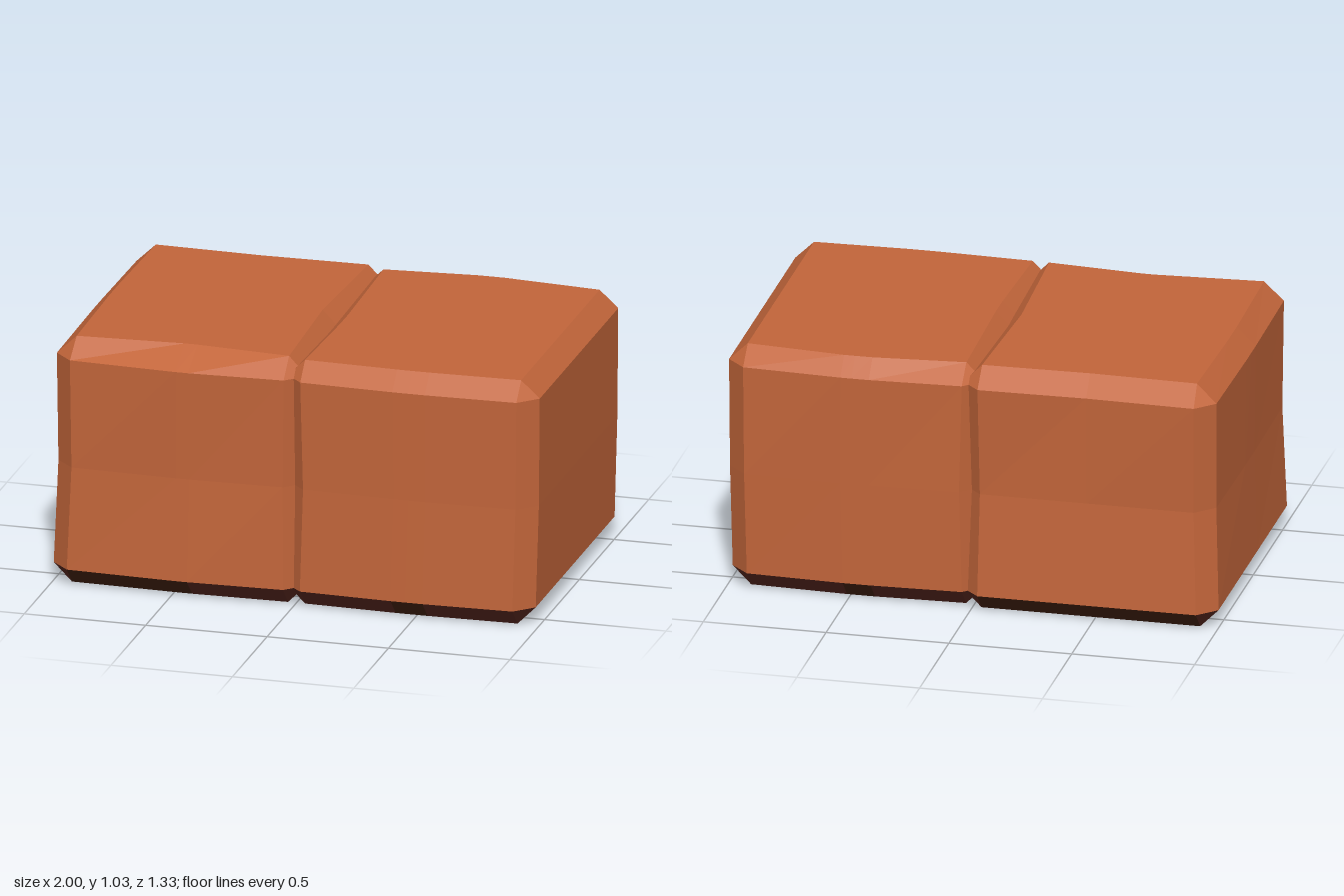
import * as THREE from 'three';

const clay = new THREE.MeshStandardMaterial({ color: 0xc2653a });
const darkRed = new THREE.MeshStandardMaterial({ color: 0x59281f });
const darkBrown = new THREE.MeshStandardMaterial({ color: 0x442110 });
for (const [m, n] of [[clay, 'clay'], [darkRed, 'darkRed'], [darkBrown, 'darkBrown']]) m.name = n;

const BEVEL = 0.075;

// One horizontal ring; sides run front, right, back, left, each with its own bulge
function ring({ y, x0, x1, z0, z1, bulge, cap }, patches) {
  const b = BEVEL, c = cap ? b : 0;
  const sides = [
    [x0 + b, z1 - c, x1 - b, z1 - c, 0, 1],
    [x1 - c, z1 - b, x1 - c, z0 + b, 1, 0],
    [x1 - b, z0 + c, x0 + b, z0 + c, 0, -1],
    [x0 + c, z0 + b, x0 + c, z1 - b, -1, 0],
  ];
  return sides.flatMap(([ax, az, bx, bz, nx, nz], s) =>
    steps(patches[s]).map((t) => {
      const out = bulge[s] * 4 * t * (1 - t);
      return new THREE.Vector3(ax + (bx - ax) * t + nx * out, y, az + (bz - az) * t + nz * out);
    }));
}

// Positions along a side, including the ends of its dark patch
const steps = ([from, to]) => [0, from, 0.5, to, 1].sort((a, b) => a - b);

// Bevelled block: walls and top are clay, the lower bevel is patched, the base is dark
function block(name, levels, patches) {
  const rings = levels.map((l) => ring(l, patches));
  const count = rings[0].length;
  const faces = { body: [], lowerBevel: [], base: [] };
  const quad = (list, a, b, c, d) => list.push(a, b, c, a, c, d);
  for (let k = 0; k < rings.length - 1; k++) {
    for (let i = 0; i < count; i++) {
      const j = (i + 1) % count;
      const side = Math.floor(i / 5), n = i % 5;
      let list = faces.body;
      if (k === 0) {
        const t = steps(patches[side]);
        const mid = (t[n] + t[n + 1]) / 2;
        const dark = n < 4 && mid > patches[side][0] && mid < patches[side][1];
        list = dark ? faces.base : faces.lowerBevel;
      }
      quad(list, rings[k][i], rings[k][j], rings[k + 1][j], rings[k + 1][i]);
    }
  }
  // Flat caps
  const first = rings[0], last = rings[rings.length - 1];
  const mid = (r) => new THREE.Vector3((levels[0].x0 + levels[0].x1) / 2, r[0].y, 0);
  for (let i = 0; i < count; i++) {
    const j = (i + 1) % count;
    faces.base.push(mid(first), first[j], first[i]);
    faces.body.push(mid(last), last[i], last[j]);
  }
  const group = new THREE.Group();
  group.name = name;
  const materials = { body: clay, lowerBevel: darkRed, base: darkBrown };
  for (const part in faces) {
    const geometry = new THREE.BufferGeometry().setFromPoints(faces[part]);
    geometry.computeVertexNormals();
    const mesh = new THREE.Mesh(geometry, materials[part]);
    mesh.name = part;
    group.add(mesh);
  }
  return group;
}

export function createModel() {
  const model = new THREE.Group();
  model.name = 'pairOfBlocks';

  // The two blocks overlap slightly so their bevels meet in a narrow groove
  model.add(block('rightBlock', [
    { y: 0, x0: -1, x1: 0.04, z0: -0.665, z1: 0.65, bulge: [0.01, 0, 0, 0], cap: true },
    { y: 0.075, x0: -1, x1: 0.04, z0: -0.665, z1: 0.65, bulge: [0.015, 0, 0, 0] },
    { y: 0.5, x0: -0.985, x1: 0.035, z0: -0.64, z1: 0.635, bulge: [0.012, 0, 0, 0.005] },
    { y: 0.95, x0: -0.99, x1: 0.04, z0: -0.66, z1: 0.64, bulge: [0.02, -0.025, -0.01, 0.006] },
    { y: 1.027, x0: -0.985, x1: 0.04, z0: -0.655, z1: 0.635, bulge: [-0.03, -0.025, -0.01, 0.01], cap: true },
  ], [[0, 0.56], [0.5, 0.5], [0, 1], [0.42, 0.56]]));

  model.add(block('leftBlock', [
    { y: 0, x0: -0.04, x1: 0.985, z0: -0.635, z1: 0.65, bulge: [0.01, 0, 0.015, 0], cap: true },
    { y: 0.075, x0: -0.04, x1: 0.985, z0: -0.635, z1: 0.65, bulge: [0.012, 0, 0.015, 0] },
    { y: 0.5, x0: -0.03, x1: 0.995, z0: -0.64, z1: 0.64, bulge: [0.012, 0, 0.012, 0] },
    { y: 0.95, x0: -0.04, x1: 1, z0: -0.635, z1: 0.645, bulge: [0.012, 0, 0.02, -0.015] },
    { y: 1.022, x0: -0.04, x1: 1, z0: -0.63, z1: 0.65, bulge: [0.012, 0, 0.035, -0.015], cap: true },
  ], [[0.43, 0.58], [0.46, 0.58], [0.45, 0.58], [0, 0.6]]));

  return model;
}
